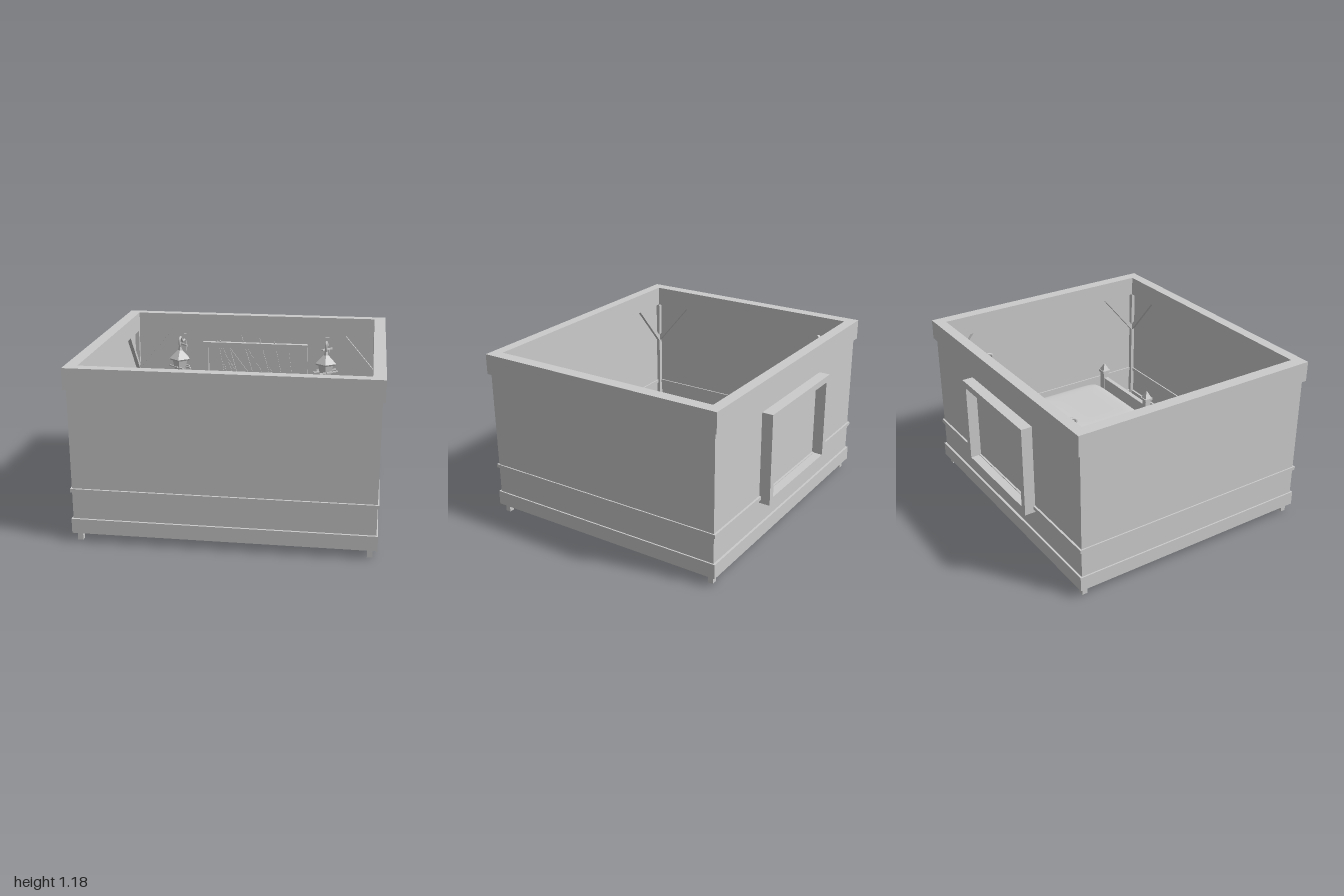
import * as THREE from 'three';
import { mergeVertices } from 'three/addons/utils/BufferGeometryUtils.js';

const mat = new THREE.MeshStandardMaterial({ color: 0xcccccc });
const flat = new THREE.MeshStandardMaterial({ color: 0xcccccc, flatShading: true });
const ROOM_Z = 0.025; // middle of the room in z

function add(parent, name, geo, x = 0, y = 0, z = 0, m = mat) {
  const mesh = new THREE.Mesh(geo, m);
  mesh.name = name;
  mesh.position.set(x, y, z);
  parent.add(mesh);
  return mesh;
}
const box = (parent, name, w, h, d, x, y, z) => add(parent, name, new THREE.BoxGeometry(w, h, d), x, y, z);

function group(parent, name, x = 0, y = 0, z = 0) {
  const g = new THREE.Group();
  g.name = name;
  g.position.set(x, y, z);
  parent.add(g);
  return g;
}

// Rectangle with a rectangular hole, extruded along z (half sizes)
function frameGeo(w, h, iw, ih, depth) {
  const rect = (T, a, b) => {
    const s = new T();
    s.moveTo(-a, -b); s.lineTo(a, -b); s.lineTo(a, b); s.lineTo(-a, b); s.closePath();
    return s;
  };
  const shape = rect(THREE.Shape, w, h);
  shape.holes.push(rect(THREE.Path, iw, ih));
  return new THREE.ExtrudeGeometry(shape, { depth, bevelEnabled: false });
}
// Horizontal band running around the room
function band(parent, name, w, d, iw, id, y0, y1) {
  const geo = frameGeo(w, d, iw, id, y1 - y0).rotateX(-Math.PI / 2);
  return add(parent, name, geo, 0, y0, ROOM_Z);
}
// Square bar between two points
function bar(parent, name, a, b, t, t2 = t) {
  const m = box(parent, name, t, t2, a.distanceTo(b), 0, 0, 0);
  m.position.copy(a).lerp(b, 0.5);
  m.lookAt(b);
  return m;
}
const V = (x, y, z) => new THREE.Vector3(x, y, z);

// Soft rounded block: a cube pulled towards a superellipsoid, then adjusted by a rule
function softBlock(w, h, d, n, rule) {
  let g = new THREE.BoxGeometry(2, 2, 2, 28, 12, 28);
  g.deleteAttribute('uv');
  g.deleteAttribute('normal');
  g = mergeVertices(g, 1e-4);
  const p = g.attributes.position, v = new THREE.Vector3();
  for (let i = 0; i < p.count; i++) {
    v.fromBufferAttribute(p, i);
    const k = (Math.abs(v.x) ** n + Math.abs(v.y) ** n + Math.abs(v.z) ** n) ** (-1 / n);
    v.multiplyScalar(k);
    rule(v);
    p.setXYZ(i, v.x * w / 2, v.y * h / 2, v.z * d / 2);
  }
  g.computeVertexNormals();
  return g;
}

function buildRoom(root) {
  const room = group(root, 'room');
  box(room, 'floor', 1.96, 0.04, 1.73, 0, 0.08, ROOM_Z);
  band(room, 'walls', 0.983, 0.868, 0.96, 0.845, 0.06, 1.15);
  band(room, 'baseTrim', 0.993, 0.883, 0.945, 0.83, 0.06, 0.16);
  band(room, 'middleRail', 0.992, 0.882, 0.95, 0.835, 0.345, 0.37);
  band(room, 'topTrim', 1, 0.887, 0.918, 0.813, 1.04, 1.18);
  // Corner posts with two diagonal braces each
  for (const sx of [-1, 1]) for (const sz of [-1, 1]) {
    const x = sx * 0.947, z = ROOM_Z + sz * 0.837;
    box(room, 'cornerPost', 0.036, 1.05, 0.036, x, 0.525, z);
    bar(room, 'cornerBrace', V(x, 0.73, z), V(x - sx * 0.28, 1.06, z), 0.03);
    bar(room, 'cornerBrace', V(x, 0.73, z), V(x, 1.06, z - sz * 0.28), 0.03);
  }
}

function buildWindow(root) {
  const win = group(root, 'window', 0, 0.64, 0);
  const W = 0.414, H = 0.32, iw = W - 0.045, ih = H - 0.045;
  add(win, 'windowFrame', frameGeo(W, H, iw, ih, 0.138), 0, 0, -0.92);
  box(win, 'glass', iw * 2, ih * 2, 0.01, 0, 0, -0.815);
  box(win, 'mullion', 0.022, ih * 2, 0.025, 0, 0, -0.803);
  box(win, 'mullion', iw * 2, 0.022, 0.025, 0, 0, -0.803);
  // Diagonal lattice, each bar clipped to the opening: y = s * (x - c)
  for (const s of [-1, 1]) for (let i = -4; i <= 4; i++) {
    const c = i * 0.15;
    const x0 = Math.max(-iw, c - ih), x1 = Math.min(iw, c + ih);
    if (x1 - x0 < 0.03) continue;
    const z = s < 0 ? -0.806 : -0.809;
    bar(win, 'latticeBar', V(x0, s * (x0 - c), z), V(x1, s * (x1 - c), z), 0.01);
  }
}

function buildLantern(root, x) {
  const lan = group(root, 'lantern', x, 0, -0.63);
  box(lan, 'wallPlate', 0.03, 0.14, 0.02, 0, 0.95, -0.185);
  // Bracket arm with a curled end
  const path = new THREE.CatmullRomCurve3([
    V(0, 0.97, -0.19), V(0, 0.975, -0.1), V(0, 1.0, -0.06), V(0, 1.025, -0.02),
    V(0, 1.015, 0.015), V(0, 0.985, 0.015), V(0, 0.95, 0)]);
  add(lan, 'hook', new THREE.TubeGeometry(path, 24, 0.009, 6));
  bar(lan, 'armStrut', V(0, 0.9, -0.18), V(0, 0.975, -0.1), 0.012);
  const prism = (name, rt, rb, y0, y1) =>
    add(lan, name, new THREE.CylinderGeometry(rt, rb, y1 - y0, 5), 0, (y0 + y1) / 2, 0, flat);
  prism('lanternKnob', 0.012, 0.018, 0.925, 0.955);
  prism('lanternRoof', 0.02, 0.084, 0.865, 0.927);
  prism('lanternRim', 0.084, 0.076, 0.853, 0.865);
  prism('lanternGlass', 0.06, 0.038, 0.74, 0.855);
  prism('lanternBase', 0.048, 0.042, 0.725, 0.743);
  for (let i = 0; i < 5; i++) {
    const a = i * Math.PI * 0.4, s = Math.sin(a), c = Math.cos(a);
    bar(lan, 'lanternEdge', V(s * 0.041, 0.74, c * 0.041), V(s * 0.064, 0.858, c * 0.064), 0.009);
  }
}

function buildTable(root) {
  const table = group(root, 'table', -0.655, 0, -0.53);
  box(table, 'tableTop', 0.47, 0.03, 0.26, 0, 0.355, 0);
  box(table, 'tableApron', 0.4, 0.04, 0.19, 0, 0.32, 0);
  for (const sx of [-1, 1]) for (const sz of [-1, 1])
    box(table, 'tableLeg', 0.035, 0.25, 0.035, sx * 0.195, 0.22, sz * 0.09);
}

function buildBed(root) {
  const bed = group(root, 'bed', 0.575);
  const HX = 0.296, HEAD = -0.46, FOOT = 0.54;
  // Arched board between two posts
  const board = (name, z, y0, y1, rise) => {
    const s = new THREE.Shape();
    s.moveTo(-HX, y0); s.lineTo(HX, y0); s.lineTo(HX, y1);
    s.quadraticCurveTo(0, y1 + rise * 2, -HX, y1);
    s.closePath();
    const g = new THREE.ExtrudeGeometry(s, { depth: 0.034, bevelEnabled: false, curveSegments: 16 });
    add(bed, name, g, 0, 0, z - 0.017);
  };
  board('headboard', HEAD, 0.17, 0.56, 0.06);
  board('footboard', FOOT, 0.17, 0.4, 0);
  for (const sx of [-1, 1]) {
    for (const [z, top] of [[HEAD, 0.71], [FOOT, 0.51]]) {
      const x = sx * HX;
      box(bed, 'bedPost', 0.046, top - 0.16, 0.046, x, (top + 0.04) / 2, z);
      box(bed, 'postCap', 0.068, 0.018, 0.068, x, top - 0.055, z);
      const tip = new THREE.CylinderGeometry(0.008, 0.042, 0.05, 4).rotateY(Math.PI / 4);
      add(bed, 'finial', tip, x, top - 0.023, z, flat);
    }
    box(bed, 'sideRail', 0.024, 0.07, FOOT - HEAD, sx * HX, 0.215, 0.04);
  }
  box(bed, 'bedBase', 0.58, 0.03, 0.96, 0, 0.21, 0.04);
  add(bed, 'mattress', softBlock(0.57, 0.12, 0.94, 10, () => {}), 0, 0.275, 0.035);
  // Pillow thins out towards its seams and pulls in along the sides
  const pillow = softBlock(0.42, 0.1, 0.2, 8, v => {
    const ex = v.x, ez = v.z;
    v.y *= 0.25 + 0.75 * Math.sqrt((1 - ex ** 4) * (1 - ez ** 4));
    v.x *= 0.94 + 0.06 * ez * ez;
    v.z *= 0.92 + 0.08 * ex * ex;
  });
  add(bed, 'pillow', pillow, -0.008, 0.365, -0.315);
  // Blanket hangs over the sides with slight ripples and swells near the pillow
  const blanket = softBlock(0.665, 0.23, 0.73, 9, v => {
    const drop = (1 - v.y) / 2;
    v.x += Math.sign(v.x) * drop * 0.02 * Math.sin(v.z * 14) * Math.abs(v.x) ** 6;
    if (v.y > 0) v.y += 0.12 * Math.exp(-(((v.z + 0.75) / 0.3) ** 2)) * (1 - v.x * v.x);
  });
  add(bed, 'blanket', blanket, 0, 0.255, 0.112);
}

export function createModel() {
  const root = new THREE.Group();
  root.name = 'bedroom';
  buildRoom(root);
  buildWindow(root);
  for (const x of [-0.565, 0.565]) buildLantern(root, x);
  buildTable(root);
  buildBed(root);
  return root;
}
